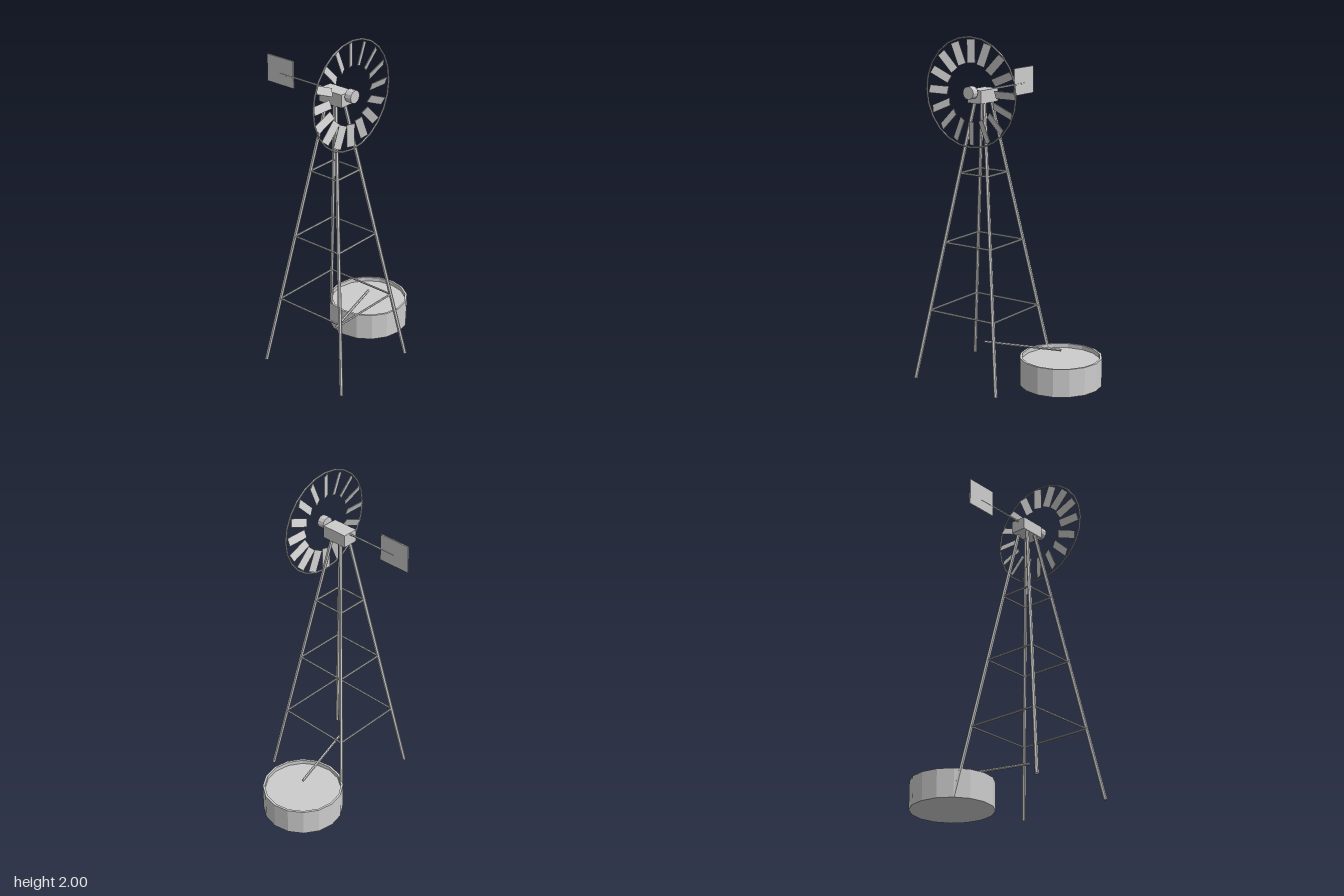
import * as THREE from 'three';

const steel = new THREE.MeshStandardMaterial({ color: 0xcccccc });
steel.name = 'galvanised steel';

// Faceted copy of a geometry
function facet(geometry) {
  const flat = geometry.index ? geometry.toNonIndexed() : geometry;
  flat.computeVertexNormals();
  return flat;
}

function add(parent, name, geometry, x = 0, y = 0, z = 0) {
  const mesh = new THREE.Mesh(facet(geometry), steel);
  mesh.name = name;
  mesh.position.set(x, y, z);
  parent.add(mesh);
  return mesh;
}

// Straight round bar between two points
function bar(parent, name, from, to, radius, sides = 6) {
  const a = new THREE.Vector3(...from);
  const b = new THREE.Vector3(...to);
  const dir = b.clone().sub(a);
  const mesh = add(parent, name, new THREE.CylinderGeometry(radius, radius, dir.length(), sides));
  mesh.position.copy(a).add(b).multiplyScalar(0.5);
  mesh.quaternion.setFromUnitVectors(new THREE.Vector3(0, 1, 0), dir.normalize());
  return mesh;
}

function makeTower() {
  const tower = new THREE.Group();
  tower.name = 'tower';
  const spread = (y) => 0.29 - 0.158 * y;
  const corners = [[1, 1], [-1, 1], [-1, -1], [1, -1]];
  const at = ([sx, sz], y) => [sx * spread(y), y, sz * spread(y)];

  corners.forEach((c) => bar(tower, 'leg', at(c, 0.003), at(c, 1.63), 0.011));

  // Square rings of braces
  for (const y of [0.41, 0.812, 1.215]) {
    corners.forEach((c, i) => bar(tower, 'brace', at(c, y), at(corners[(i + 1) % 4], y), 0.006));
  }
  return tower;
}

function makeWheel() {
  const wheel = new THREE.Group();
  wheel.name = 'windWheel';
  add(wheel, 'rim', new THREE.TorusGeometry(0.31, 0.005, 6, 24));
  add(wheel, 'hub', new THREE.CylinderGeometry(0.037, 0.037, 0.042, 12).rotateX(Math.PI / 2));

  // Pitched blades
  const count = 16;
  for (let i = 0; i < count; i++) {
    const blade = new THREE.BoxGeometry(0.047, 0.132, 0.004);
    blade.rotateY(0.38);
    blade.translate(0, 0.231, -0.009);
    blade.rotateZ((i / count) * Math.PI * 2);
    add(wheel, 'blade', blade);
  }
  return wheel;
}

function makeTank() {
  const tank = new THREE.Group();
  tank.name = 'waterTank';
  const profile = [[0, 0], [0.24, 0], [0.24, 0.165], [0.227, 0.165], [0.227, 0.14], [0, 0.14]]
    .map(([r, y]) => new THREE.Vector2(r, y));
  add(tank, 'tankBody', new THREE.LatheGeometry(profile, 16));
  return tank;
}

export function createModel() {
  const model = new THREE.Group();
  model.name = 'windPump';
  const cx = -0.19;
  const cz = 0.096;
  const axleY = 1.685;

  const tower = makeTower();
  tower.position.set(cx, 0, cz);
  model.add(tower);

  // Head: gearbox, wheel and tail
  add(model, 'gearbox', new THREE.BoxGeometry(0.094, 0.075, 0.16), cx, 1.658, 0.1);
  const wheel = makeWheel();
  wheel.position.set(cx, axleY, 0.215);
  model.add(wheel);
  bar(model, 'tailBoom', [cx, axleY, 0.03], [cx, axleY, -0.305], 0.006);
  add(model, 'tailVane', new THREE.BoxGeometry(0.008, 0.16, 0.195), cx, 1.7, -0.303);

  // Tank and its feed pipe
  const tank = makeTank();
  tank.position.set(0.263, 0, -0.032);
  model.add(tank);
  bar(model, 'feedPipe', [cx, 0.2, cz], [0.263, 0.2, -0.032], 0.008);

  return model;
}
